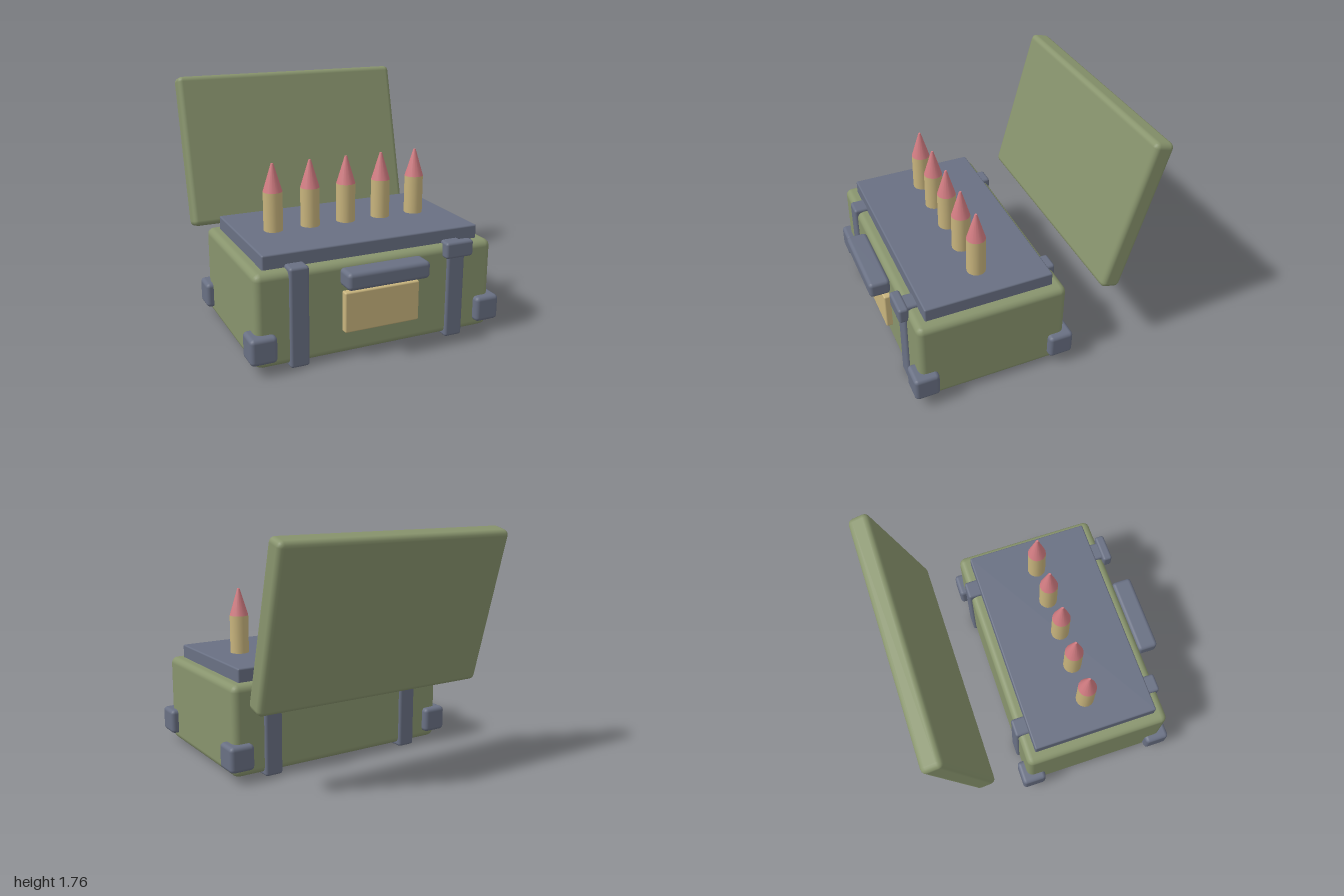
import * as THREE from 'three';
import { RoundedBoxGeometry } from 'three/addons/geometries/RoundedBoxGeometry.js';

const mat = (name, color) => {
  const m = new THREE.MeshStandardMaterial({ color });
  m.name = name;
  return m;
};

export function createModel() {
  const root = new THREE.Group();
  root.name = 'ammunitionCrate';
  const olive = mat('olive', 0x88946d);
  const steel = mat('steel', 0x697083);
  const brass = mat('brass', 0xc8b47d);
  const red = mat('tipRed', 0xd27c82);

  const add = (name, geometry, material, x, y, z, parent = root) => {
    const mesh = new THREE.Mesh(geometry, material);
    mesh.name = name;
    mesh.position.set(x, y, z);
    parent.add(mesh);
    return mesh;
  };
  // Rounded box given by its lower and upper limits on each axis
  const box = (name, material, [x0, x1], [y0, y1], [z0, z1], r) =>
    add(name, new RoundedBoxGeometry(x1 - x0, y1 - y0, z1 - z0, 2, r), material,
      (x0 + x1) / 2, (y0 + y1) / 2, (z0 + z1) / 2);

  // Case and inner tray
  box('body', olive, [-0.907, 0.907], [0.025, 0.695], [-0.287, 0.843], 0.05);
  box('tray', steel, [-0.825, 0.825], [0.6, 0.795], [-0.205, 0.76], 0.012);

  // Open lid, leaning back
  const lid = add('lid', new RoundedBoxGeometry(1.87, 1.19, 0.158, 2, 0.04), olive, 0, 1.175, -0.776);
  lid.rotation.x = -0.26;

  // Straps wrapping the case, and bottom corner guards
  for (const s of [-1, 1]) {
    const side = s < 0 ? 'right' : 'left';
    box(side + 'Strap', steel, [s * 0.6 - 0.07, s * 0.6 + 0.07], [0, 0.718], [-0.307, 0.863], 0.02);
    for (const [end, z] of [['Front', 0.805], ['Back', -0.245]])
      box(side + end + 'Corner', steel, [s * 0.865 - 0.095, s * 0.865 + 0.095],
        [0.085, 0.275], [z - 0.095, z + 0.095], 0.03);
  }

  // Front fittings
  box('handle', steel, [-0.31, 0.31], [0.545, 0.67], [0.84, 1], 0.03);
  box('latch', steel, [0.49, 0.71], [0.62, 0.74], [0.832, 0.907], 0.02);
  box('namePlate', brass, [-0.285, 0.285], [0.2, 0.495], [0.82, 0.893], 0.012);

  // Row of cartridges
  for (let i = -2; i <= 2; i++) {
    const round = new THREE.Group();
    round.name = 'cartridge' + (i + 3);
    round.position.set(i * 0.284, 0, 0.277);
    root.add(round);
    add('casing', new THREE.CylinderGeometry(0.07, 0.07, 0.33, 16), brass, 0, 0.915, 0, round);
    add('tip', new THREE.CylinderGeometry(0.009, 0.07, 0.203, 16), red, 0, 1.1815, 0, round);
  }
  return root;
}
